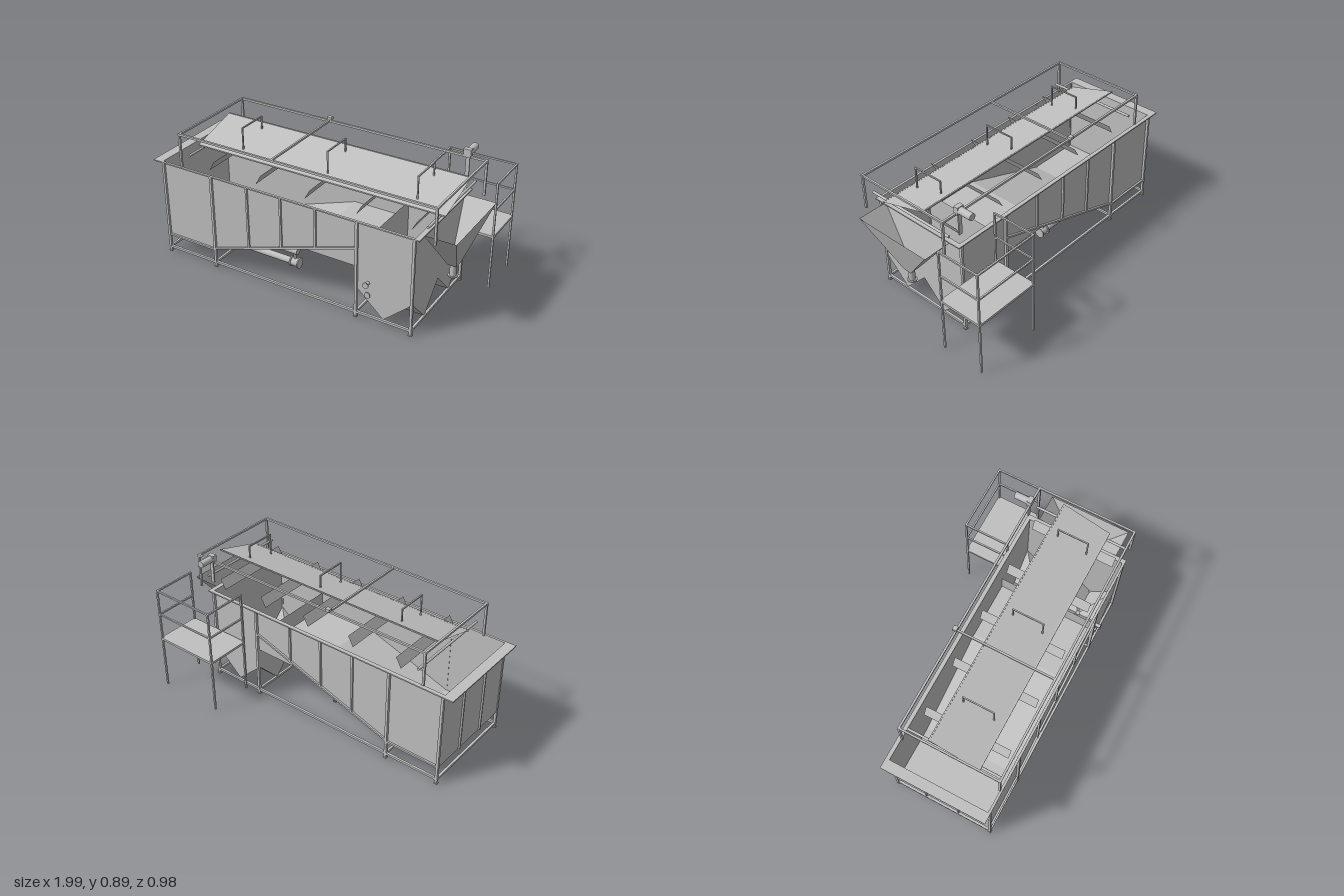
import * as THREE from 'three';

export function createModel() {
  const model = new THREE.Group();
  const steel = new THREE.MeshStandardMaterial({ color: 0xc0c0c0, side: THREE.DoubleSide });
  steel.name = 'steel grey';
  const V = (p) => new THREE.Vector3(...p);

  const add = (name, geo, pos = [0, 0, 0]) => {
    const m = new THREE.Mesh(geo, steel);
    m.name = name;
    m.position.set(...pos);
    model.add(m);
    return m;
  };
  // Box given by its two extreme corners
  const box = (name, a, b) => add(name,
    new THREE.BoxGeometry(b[0] - a[0], b[1] - a[1], b[2] - a[2]),
    a.map((v, i) => (v + b[i]) / 2));
  // Square bar between two points
  const bar = (name, a, b, t = 0.015) => {
    const p = V(a), q = V(b);
    const m = add(name, new THREE.BoxGeometry(t, t, p.distanceTo(q) + t * 0.9));
    m.position.copy(p).add(q).multiplyScalar(0.5);
    m.lookAt(q);
    return m;
  };
  // Round bar between two points
  const rod = (name, a, b, r) => {
    const p = V(a), q = V(b);
    const m = add(name, new THREE.CylinderGeometry(r, r, p.distanceTo(q), 24));
    m.position.copy(p).add(q).multiplyScalar(0.5);
    m.quaternion.setFromUnitVectors(new THREE.Vector3(0, 1, 0), q.sub(p).normalize());
    return m;
  };
  // Flat-shaded sheet from triangles or quads of points
  const sheet = (name, faces) => {
    const pts = [];
    for (const f of faces)
      for (let i = 1; i < f.length - 1; i++) pts.push(...f[0], ...f[i], ...f[i + 1]);
    const g = new THREE.BufferGeometry();
    g.setAttribute('position', new THREE.Float32BufferAttribute(pts, 3));
    g.computeVertexNormals();
    return add(name, g);
  };

  const zf = 0.455, zb = -0.175, top = 0.63;   // tank walls and rim height
  const x0 = -0.935, x1 = 0.42, x2 = 0.78;     // tank end, settling box start and end
  const slopeY = (x) => 0.13 + (x + 0.57) * 0.33;

  // Tank long walls with V-shaped bottom under the settling box
  const side = new THREE.Shape([
    [x0, top], [x0, 0.12], [-0.57, 0.12], [0.05, 0.335], [x1, 0.335],
    [x1, 0.2], [0.6, 0.035], [x2, 0.2], [x2, top],
  ].map((p) => new THREE.Vector2(...p)));
  add('frontWall', new THREE.ShapeGeometry(side), [0, 0, zf]);
  add('backWall', new THREE.ShapeGeometry(side).rotateY(Math.PI).scale(-1, 1, -1), [0, 0, zb]);

  // End walls: plain on the left end, zigzag bottom on the settling box
  sheet('endWall', [[[x0, 0.12, zb], [x0, 0.12, zf], [x0, top, zf], [x0, top, zb]]]);
  const mid = (zf + zb) / 2, cells = [(zf + mid) / 2, (mid + zb) / 2];
  const zigzag = (x, h) => {
    const s = new THREE.Shape([
      [zf, h], [zf, 0.2], [cells[0], 0.035], [mid, 0.2], [cells[1], 0.035], [zb, 0.2], [zb, h],
    ].map(([z, y]) => new THREE.Vector2(-z, y)));
    add('settlingBoxWall', new THREE.ShapeGeometry(s).rotateY(Math.PI / 2), [x, 0, 0]);
  };
  zigzag(x2, top);
  zigzag(x1, 0.45);

  // Tank floor: flat, sloping, flat
  const floor = [[x0, 0.12], [-0.57, 0.12], [0.05, 0.335], [x1, 0.335]];
  sheet('tankFloor', floor.slice(1).map(([x, y], i) => {
    const [px, py] = floor[i];
    return [[px, py, zb], [px, py, zf], [x, y, zf], [x, y, zb]];
  }));

  // Crossed V-trough bottoms with small drain outlets
  const cx = 0.6, a = (x2 - x1) / 2, b = (zf - mid) / 2;
  for (const cz of cells) {
    const faces = [];
    for (const sx of [-1, 1]) for (const sz of [-1, 1]) {
      const c = [cx, 0.035, cz], corner = [cx + sx * a, 0.2, cz + sz * b];
      faces.push([c, [cx + sx * a, 0.035, cz], corner], [c, corner, [cx, 0.035, cz + sz * b]]);
    }
    sheet('troughBottom', faces);
    rod('drainOutlet', [cx, 0.018, cz], [cx, 0.045, cz], 0.013);
  }

  // Rim flange
  box('rimFront', [-1, 0.624, zf], [0.81, 0.632, 0.47]);
  box('rimBack', [-1, 0.624, -0.2], [0.81, 0.632, zb]);
  box('rimEnd', [-1, 0.624, zb], [x0, 0.632, zf]);
  box('rimRight', [x2, 0.624, zb], [0.81, 0.632, zf]);

  // Posts, ribs, slope beams and base rails on both long sides
  for (const z of [0.461, -0.184]) {
    for (const x of [-0.93, -0.572, 0.425, 0.778]) {
      box('sidePost', [x - 0.008, 0, z - 0.008], [x + 0.008, top, z + 0.008]);
      box('foot', [x - 0.011, 0, z - 0.011], [x + 0.011, 0.008, z + 0.011]);
    }
    for (const x of [-0.315, -0.08, 0.155])
      box('sideRib', [x - 0.006, slopeY(x), z - 0.006], [x + 0.006, top, z + 0.006]);
    bar('slopeBeam', [-0.57, 0.13, z], [x1, 0.457, z], 0.012);
    bar('floorBeam', [-0.93, 0.122, z], [-0.57, 0.122, z], 0.012);
    bar('baseRail', [-0.93, 0.033, z], [0.778, 0.033, z]);
  }
  for (const x of [-0.93, -0.572, 0.425, 0.778])
    bar('baseCrossRail', [x, 0.033, -0.184], [x, 0.033, 0.461]);
  for (const z of [0.03, 0.25])
    box('endRib', [x0 - 0.01, 0.12, z - 0.005], [x0, top, z + 0.005]);

  // Upper frame
  for (const z of [0.453, -0.174]) {
    bar('upperRail', [-0.793, 0.844, z], [0.893, 0.844, z], 0.013);
    for (const x of [-0.793, 0.893]) bar('upperPost', [x, top, z], [x, 0.844, z], 0.013);
  }
  for (const x of [-0.793, -0.14, 0.893])
    bar('upperCrossRail', [x, 0.844, -0.174], [x, 0.844, 0.453], 0.012);
  box('railBracket', [-0.155, 0.85, -0.195], [-0.125, 0.868, -0.168]);

  // Drive motor
  box('gearbox', [0.752, 0.84, -0.192], [0.798, 0.89, -0.163]);
  rod('motor', [0.775, 0.864, -0.278], [0.775, 0.864, -0.19], 0.022);
  box('motorBracket', [0.763, 0.7, -0.186], [0.787, 0.845, -0.178]);

  // Tilted cover with edge bars and handles
  sheet('cover', [[[-0.77, 0.725, 0.31], [0.88, 0.725, 0.31], [0.88, 0.816, -0.005], [-0.77, 0.816, -0.005]]]);
  bar('coverLowerBar', [-0.765, 0.723, 0.31], [0.875, 0.723, 0.31], 0.008);
  bar('coverUpperBar', [-0.765, 0.813, -0.002], [0.875, 0.813, -0.002], 0.008);
  for (const x of [-0.48, 0.11, 0.68]) {
    bar('handleLeg', [x, 0.745, 0.25], [x, 0.88, 0.25], 0.008);
    bar('handleLeg', [x, 0.8, 0.056], [x, 0.88, 0.056], 0.008);
    bar('handleGrip', [x, 0.88, 0.056], [x, 0.88, 0.25], 0.008);
  }

  // Cross shafts and slanted skimmer blades
  for (const x of [-0.745, 0.84]) rod('crossShaft', [x, 0.708, -0.16], [x, 0.708, 0.44], 0.008);
  for (let i = 0; i < 5; i++) {
    const x = -0.615 + i * 0.335;
    sheet('skimmerBlade', [[[x, 0.637, -0.133], [x, 0.637, 0.413], [x + 0.035, 0.7, 0.413], [x + 0.035, 0.7, -0.133]]]);
  }

  // Discharge hopper with spout
  const upper = [[0.795, 0.628, 0.4], [0.99, 0.628, 0.4], [0.99, 0.628, -0.125], [0.795, 0.628, -0.125]];
  const lower = [[0.845, 0.33, 0.167], [0.9, 0.33, 0.167], [0.9, 0.33, 0.113], [0.845, 0.33, 0.113]];
  sheet('dischargeHopper', [...upper.map((p, i) => {
    const j = (i + 1) % 4;
    return [lower[i], lower[j], upper[j], p];
  }), lower]);
  rod('hopperSpout', [0.87, 0.25, 0.14], [0.87, 0.332, 0.14], 0.02);
  rod('spoutFlange', [0.87, 0.248, 0.14], [0.87, 0.255, 0.14], 0.029);

  // Service platform with railings
  const pz = [-0.2, -0.483], px = [0.53, 0.96];
  box('platformDeck', [0.525, 0.347, -0.489], [0.966, 0.362, -0.194]);
  for (const x of px) {
    for (const z of pz) bar('platformPost', [x, 0.005, z], [x, 0.705, z], 0.011);
    for (const y of [0.537, 0.705]) bar('platformSideRail', [x, y, pz[0]], [x, y, pz[1]], 0.01);
  }
  for (const y of [0.537, 0.705]) bar('platformOuterRail', [px[0], y, pz[1]], [px[1], y, pz[1]], 0.01);

  // Drain pipes with valves and actuators
  for (const z of [0.29, -0.01]) {
    rod('drainPipe', [-0.77, 0.097, z], [-0.1, 0.097, z], 0.021);
    rod('valveBody', [-0.12, 0.097, z], [-0.07, 0.097, z], 0.026);
    for (const x of [-0.125, -0.072]) rod('valveFlange', [x, 0.097, z], [x + 0.008, 0.097, z], 0.034);
    rod('valveStem', [-0.1, 0.1, z], [-0.1, 0.17, z], 0.008);
    rod('actuator', [-0.165, 0.177, z], [-0.075, 0.177, z], 0.022);
  }

  // Sampling ports on the settling box
  for (const [y, z] of [[0.25, 0.49], [0.172, 0.468]]) {
    rod('portPipe', [0.5, y, zf], [0.5, y, z - 0.002], 0.011);
    rod('portFlange', [0.5, y, z - 0.006], [0.5, y, z], 0.019);
  }
  return model;
}
